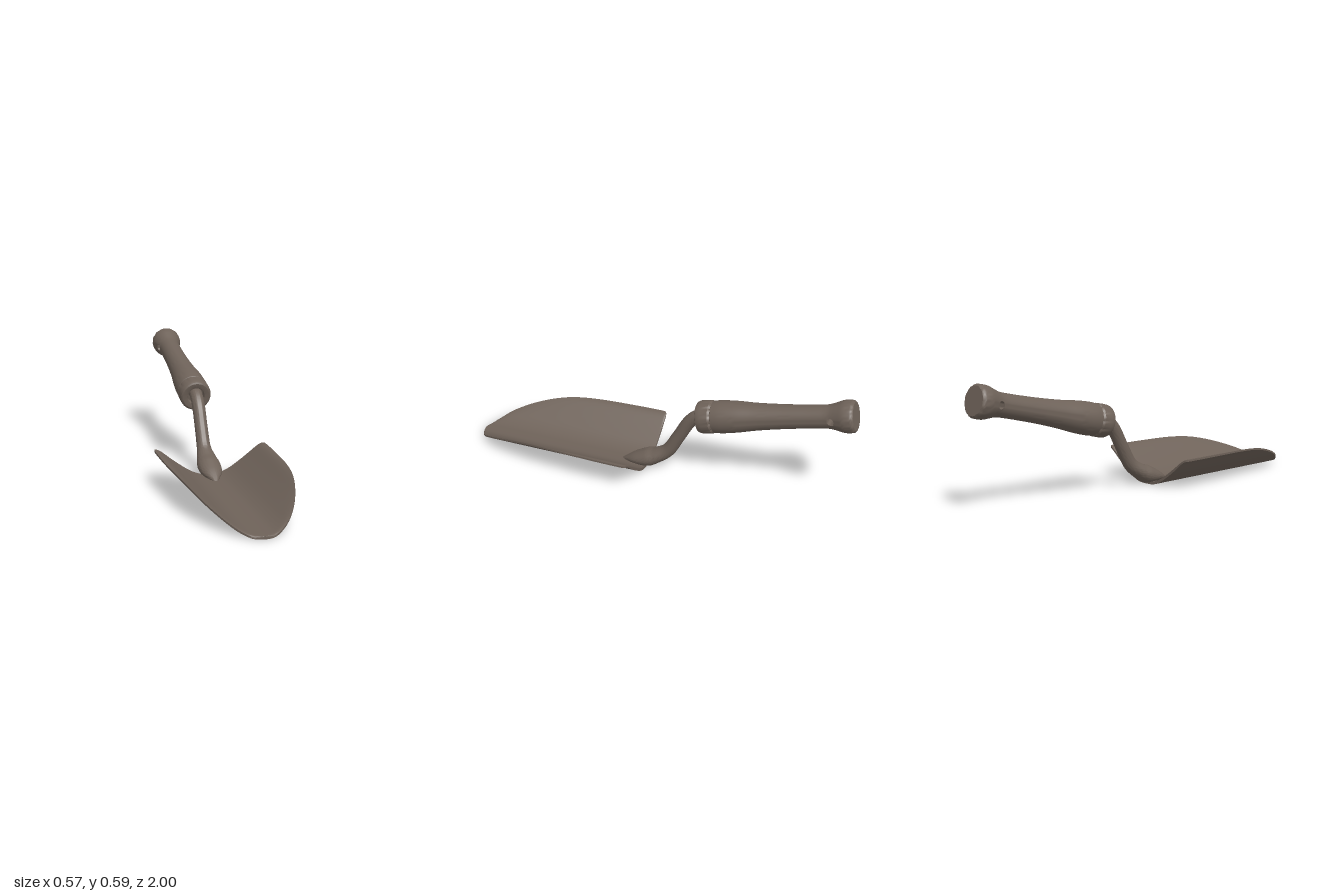
import * as THREE from 'three';
import { toCreasedNormals } from 'three/addons/utils/BufferGeometryUtils.js';

// Smooth curve through [position, value] pairs
function smooth(pts, t) {
  const n = pts.length - 1;
  let i = 0;
  while (i < n - 1 && t > pts[i + 1][0]) i++;
  const slope = k => {
    const a = pts[Math.max(k - 1, 0)], b = pts[Math.min(k + 1, n)];
    return (b[1] - a[1]) / (b[0] - a[0]);
  };
  const [x0, y0] = pts[i], [x1, y1] = pts[i + 1], h = x1 - x0;
  const u = Math.min(Math.max((t - x0) / h, 0), 1), v = 1 - u;
  return y0 * (1 + 2 * u) * v * v + slope(i) * h * u * v * v
    + y1 * u * u * (3 - 2 * u) - slope(i + 1) * h * u * u * v;
}

// Skin a list of closed rings (arrays of [x, y, z]), with flat ends
function loft(rings, { caps = true, skip = () => false, crease = 0.6 } = {}) {
  const N = rings[0].length, index = [], last = (rings.length - 1) * N;
  for (let i = 0; i < rings.length - 1; i++) {
    for (let j = 0; j < N; j++) {
      if (skip(i, j)) continue;
      const a = i * N + j, b = i * N + (j + 1) % N, c = b + N, d = a + N;
      index.push(a, d, c, a, c, b);
    }
  }
  if (caps) {
    for (let j = 0; j < N / 2 - 1; j++) {
      const a = j, b = j + 1, c = N - 2 - j, d = N - 1 - j;
      index.push(a, b, c, a, c, d);
      index.push(last + a, last + c, last + b, last + a, last + d, last + c);
    }
  }
  const geo = new THREE.BufferGeometry();
  geo.setAttribute('position', new THREE.Float32BufferAttribute(rings.flat(2), 3));
  geo.setIndex(index);
  return toCreasedNormals(geo, crease);
}

const SIDES = 48;
const ring = f => Array.from({ length: SIDES }, (_, j) => f(j * 2 * Math.PI / SIDES, j));
const round = (r, a, t) => [r * Math.sin(a), r * Math.cos(a), t];

// Scoop blade: one curved cross-section trimmed by a pointed outline
function bladeGeometry() {
  const outline = new THREE.SplineCurve([
    [0.255, 0.055], [0.277, 0.062], [0.284, 0.09], [0.282, 0.25], [0.272, 0.45], [0.25, 0.62],
    [0.205, 0.78], [0.145, 0.9], [0.085, 0.965], [0.04, 0.992], [0.002, 1]
  ].map(p => new THREE.Vector2(...p)));
  const under = [[0, 0], [0.05, 0.003], [0.1, 0.023], [0.15, 0.056], [0.2, 0.094], [0.25, 0.136], [0.27, 0.148], [0.285, 0.151]];
  const M = 41;
  return loft(outline.getPoints(60).map(({ x: w, y: z }) => {
    const top = [], bottom = [];
    for (let k = 0; k < M; k++) {
      const u = 2 * k / (M - 1) - 1, x = u * w, y = smooth(under, Math.abs(x));
      top.push([x, y + 0.015 - 0.006 * u ** 8, z]);
      bottom.unshift([x, y, z]);
    }
    return [...top, ...bottom];
  }));
}

// Bent shaft that swells into a socket and flattens into the blade
function shaftGeometry() {
  const path = new THREE.CatmullRomCurve3([
    [0.375, -0.27], [0.353, -0.215], [0.312, -0.172], [0.21, -0.113], [0.118, -0.058],
    [0.075, 0], [0.052, 0.05], [0.034, 0.12], [0.012, 0.19]
  ].map(([y, z]) => new THREE.Vector3(0, y, z)));
  const wide = [0.033, 0.033, 0.033, 0.033, 0.036, 0.05, 0.058, 0.048, 0.008].map((r, i) => [i, r]);
  const tall = [0.033, 0.033, 0.033, 0.033, 0.035, 0.039, 0.045, 0.028, 0.004].map((r, i) => [i, r]);
  const rings = [];
  for (let i = 0; i <= 64; i++) {
    const p = path.getPoint(i / 64), d = path.getTangent(i / 64);
    const rx = smooth(wide, i / 8), rn = smooth(tall, i / 8);
    rings.push(ring(a => [rx * Math.sin(a), p.y + d.z * rn * Math.cos(a), p.z - d.y * rn * Math.cos(a)]));
  }
  return loft(rings);
}

// Fluted collar with a recess round the shaft
function collarGeometry() {
  const profile = [
    [0.03, 0.042], [0.008, 0.042], [0.002, 0.045], [0, 0.05], [0, 0.07], [0.004, 0.077],
    [0.014, 0.081], [0.03, 0.082], [0.07, 0.082], [0.074, 0.079], [0.084, 0.073]
  ];
  return loft(profile.map(([t, r]) => {
    const depth = t > 0.05 ? 0.004 : 0;
    return ring((a, j) => round(r - (j % 4 === 0 ? depth : 0), a, t));
  }), { crease: 0.5 });
}

const GRIP = [
  [0.083, 0.079], [0.12, 0.081], [0.2, 0.077], [0.3, 0.067], [0.42, 0.06], [0.52, 0.057], [0.6, 0.056],
  [0.66, 0.058], [0.705, 0.07], [0.73, 0.077], [0.765, 0.078], [0.776, 0.075], [0.782, 0.068]
];
const HOLE = { t: 0.672, r: 0.018, step: 0.0076 };
const gripPoint = (t, a) => round(smooth(GRIP, t), a, t);

// Contoured grip; the grid is pulled into a round opening on both sides
function gripGeometry() {
  const rows = [0.083, 0.09];
  for (let t = 0.11; t < 0.635; t += 0.02) rows.push(t);
  const first = rows.length;
  for (let k = -4; k <= 4; k++) rows.push(HOLE.t + k * HOLE.step);
  rows.push(0.712, 0.72, 0.73, 0.742, 0.755, 0.765, 0.771, 0.776, 0.78, 0.782);
  const acrossHole = j => (j % 24) - 12;
  const rings = rows.map((t, i) => ring((a, j) => {
    const k = i - first - 4, m = acrossHole(j), d = Math.max(Math.abs(k), Math.abs(m));
    if (d === 2 || d === 3) {
      const len = Math.hypot(k, m), mix = d === 2 ? 1 : 0.5;
      const radius = HOLE.r + (d - 2) * HOLE.step;
      const dk = THREE.MathUtils.lerp(k * HOLE.step, k / len * radius, mix);
      const dm = THREE.MathUtils.lerp(m * HOLE.step, m / len * radius, mix);
      return gripPoint(HOLE.t + dk, a + (dm - m * HOLE.step) / 0.058);
    }
    const scallop = t > 0.75 && j % 4 === 0 ? 0.003 : 0;
    return round(smooth(GRIP, t) - scallop, a, t);
  }));
  rings.unshift(ring(a => round(0.073, a, 0.079)));
  const skip = (i, j) => {
    const k = i - 1 - first - 4, m = acrossHole(j);
    return k >= -2 && k < 2 && m >= -2 && m < 2;
  };
  return loft(rings, { skip });
}

// Inside wall of the hanging hole
function holeGeometry() {
  const side = s => Array.from({ length: 16 }, (_, j) => {
    const a = j * Math.PI / 8;
    const p = gripPoint(HOLE.t + HOLE.r * Math.cos(a), Math.PI / 2 + HOLE.r * Math.sin(a) / 0.058);
    return [p[0] * s, p[1], p[2]];
  });
  // ring order makes the wall face the hole's axis
  return loft([side(1), side(-1)], { caps: false, crease: 1 });
}

export function createModel() {
  const model = new THREE.Group();
  model.name = 'gardenTrowel';
  const material = new THREE.MeshStandardMaterial({ color: 0x6e6259, side: THREE.DoubleSide });
  material.name = 'warm grey brown';

  const add = (parent, name, geometry) => {
    const mesh = new THREE.Mesh(geometry, material);
    mesh.name = name;
    parent.add(mesh);
  };
  add(model, 'blade', bladeGeometry());
  add(model, 'shaft', shaftGeometry());

  // Handle runs along its own z, tilted up towards the back
  const handle = new THREE.Group();
  handle.name = 'handle';
  add(handle, 'collar', collarGeometry());
  add(handle, 'grip', gripGeometry());
  add(handle, 'hangingHole', holeGeometry());
  handle.position.set(0, 0.35, -0.222);
  handle.rotation.x = Math.PI + 0.2226;
  // the half turn is about x, so left and right stay in place
  model.add(handle);
  return model;
}
